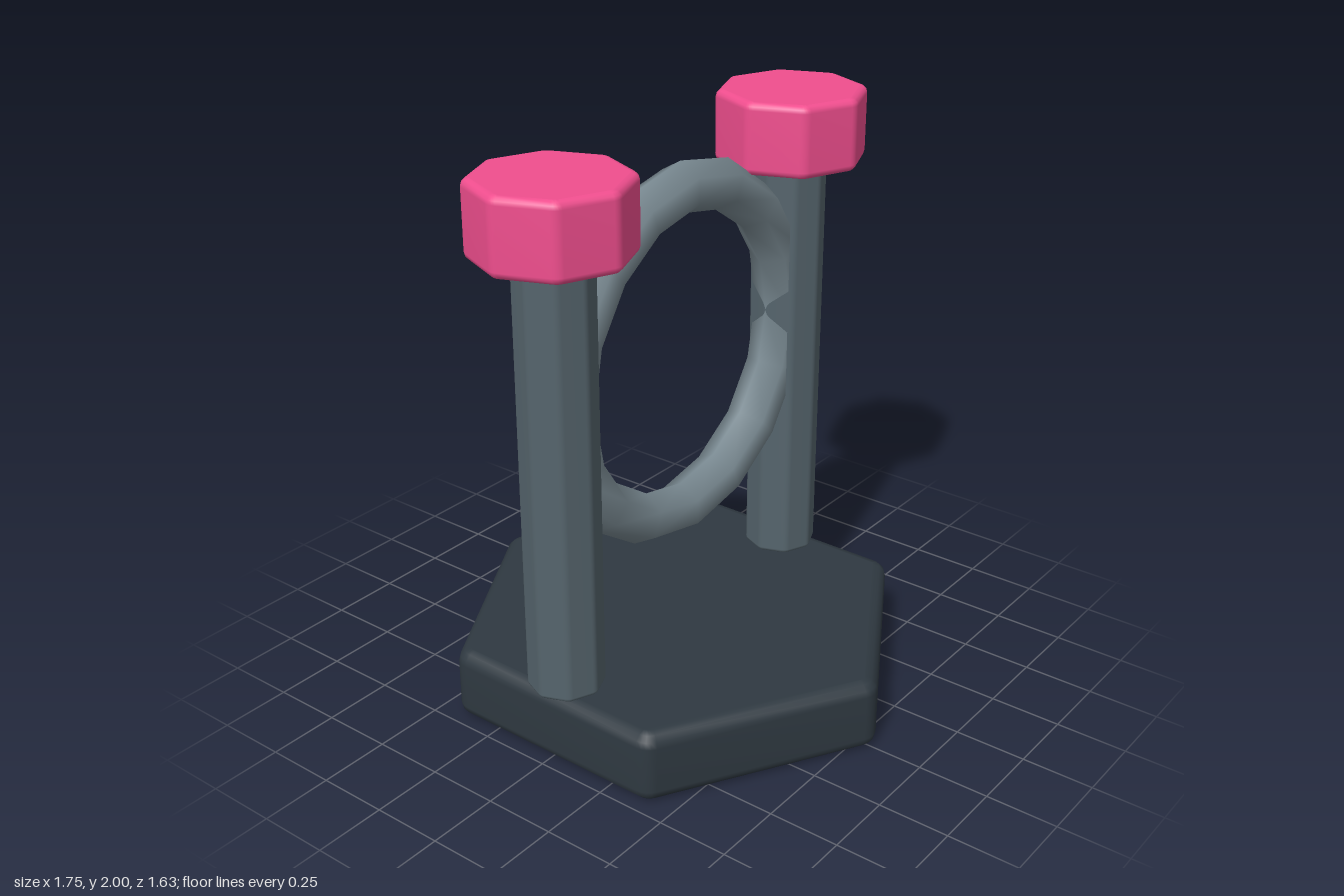
import * as THREE from 'three';
import { mergeVertices } from 'three/addons/utils/BufferGeometryUtils.js';

// Upright regular prism with soft vertical corners and rounded rims, base at y = 0.
// The first corner points along z; `corner` is the length trimmed off each side.
function softPrism(sides, radius, height, corner, bevel) {
  const pts = [];
  for (let i = 0; i < sides; i++) {
    const a = Math.PI / 2 + (i / sides) * Math.PI * 2;
    pts.push(new THREE.Vector2(Math.cos(a) * radius, Math.sin(a) * radius));
  }
  const shape = new THREE.Shape();
  pts.forEach((p, i) => {
    const toward = (q) => p.clone().add(q.clone().sub(p).setLength(corner));
    const start = toward(pts[(i + sides - 1) % sides]);
    const end = toward(pts[(i + 1) % sides]);
    if (i === 0) shape.moveTo(start.x, start.y);
    else shape.lineTo(start.x, start.y);
    shape.quadraticCurveTo(p.x, p.y, end.x, end.y);
  });
  shape.closePath();

  let geo = new THREE.ExtrudeGeometry(shape, {
    depth: height - bevel * 2,
    bevelThickness: bevel,
    bevelSize: bevel,
    bevelOffset: -bevel,
    bevelSegments: 3,
    curveSegments: 4,
  });
  geo.translate(0, 0, bevel);
  geo.rotateX(-Math.PI / 2);

  // Area-weighted normals keep the large faces flat and the edges soft
  geo.deleteAttribute('normal');
  geo.deleteAttribute('uv');
  geo = mergeVertices(geo, 1e-5);
  geo.computeVertexNormals();
  return geo;
}

export function createModel() {
  const model = new THREE.Group();
  const paint = (color) => new THREE.MeshStandardMaterial({ color });
  const dark = paint(0x2f3941);
  const steel = paint(0x55646c);
  const light = paint(0x788890);
  const pink = paint(0xf04e8e);

  const add = (name, geometry, material, x, y) => {
    const mesh = new THREE.Mesh(geometry, material);
    mesh.name = name;
    mesh.position.set(x, y, 0);
    model.add(mesh);
  };

  // Hexagonal foot plate
  add('base', softPrism(6, 0.825, 0.255, 0.04, 0.045), dark, 0, 0);

  // Pair of octagonal posts with wider caps
  const postGeo = softPrism(8, 0.131, 1.52, 0.014, 0.015);
  const capGeo = softPrism(8, 0.264, 0.25, 0.02, 0.025);
  for (const [side, x] of [['left', 0.615], ['right', -0.615]]) {
    add(side + 'Post', postGeo, steel, x, 0.255);
    add(side + 'Cap', capGeo, pink, x, 1.75);
  }

  // Ring held between the posts
  add('ring', new THREE.TorusGeometry(0.575, 0.088, 6, 16), light, 0, 1.228);

  return model;
}
